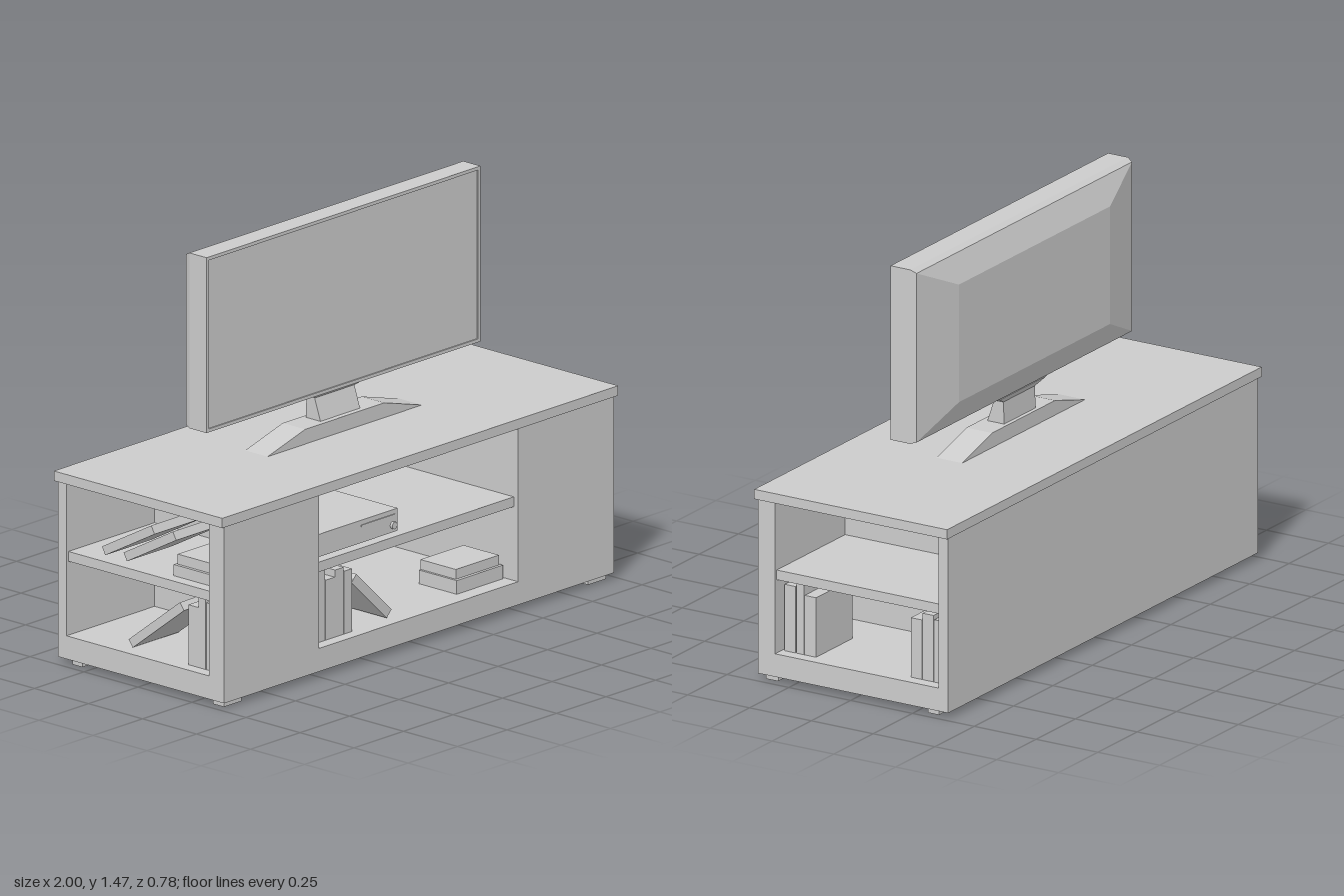
import * as THREE from 'three';

const material = new THREE.MeshStandardMaterial({ color: 0xcccccc, flatShading: true });

function add(parent, name, geometry) {
  const mesh = new THREE.Mesh(geometry, material);
  mesh.name = name;
  parent.add(mesh);
  return mesh;
}

// Box given by its limits on each axis
function box(parent, name, x0, x1, y0, y1, z0, z1) {
  const mesh = add(parent, name, new THREE.BoxGeometry(x1 - x0, y1 - y0, z1 - z0));
  mesh.position.set((x0 + x1) / 2, (y0 + y1) / 2, (z0 + z1) / 2);
  return mesh;
}

// Capped skin over four-cornered rings, counter-clockwise about the direction of travel
function loft(rings) {
  const pos = [];
  const quad = (a, b, c, d) => pos.push(...a, ...b, ...c, ...a, ...c, ...d);
  const first = rings[0], last = rings[rings.length - 1];
  quad(first[3], first[2], first[1], first[0]);
  quad(...last);
  for (let r = 0; r < rings.length - 1; r++) {
    for (let i = 0; i < 4; i++) {
      const j = (i + 1) % 4;
      quad(rings[r][i], rings[r][j], rings[r + 1][j], rings[r + 1][i]);
    }
  }
  const g = new THREE.BufferGeometry();
  g.setAttribute('position', new THREE.Float32BufferAttribute(pos, 3));
  g.computeVertexNormals();
  return g;
}
// Upright ring facing +z, and level ring facing +y
const ringZ = (w, y0, y1, z) => [[-w, y0, z], [w, y0, z], [w, y1, z], [-w, y1, z]];
const ringY = (w, z0, z1, y) => [[-w, y, z1], [w, y, z1], [w, y, z0], [-w, y, z0]];

function buildCabinet() {
  const g = new THREE.Group();
  g.name = 'cabinet';
  box(g, 'topBoard', -1, 1, 0.655, 0.69, -0.39, 0.39);
  box(g, 'floorBoard', -0.985, 0.985, 0.022, 0.105, -0.345, 0.315);
  box(g, 'backPanel', -0.985, 0.985, 0.022, 0.655, -0.385, -0.345);

  // Front panel with the open middle bay
  const shape = new THREE.Shape([[-0.985, 0.022], [0.985, 0.022], [0.985, 0.655], [-0.985, 0.655]]
    .map(p => new THREE.Vector2(...p)));
  shape.holes.push(new THREE.Path([[-0.505, 0.105], [-0.505, 0.654], [0.5, 0.654], [0.5, 0.105]]
    .map(p => new THREE.Vector2(...p))));
  const front = add(g, 'frontPanel', new THREE.ExtrudeGeometry(shape, { depth: 0.07, bevelEnabled: false }));
  front.position.z = 0.315;

  // Shelves, dividers and feet
  box(g, 'middleShelf', -0.505, 0.5, 0.37, 0.405, -0.345, 0.365);
  for (const s of [-1, 1]) {
    const span = (a, b) => (s > 0 ? [a, b] : [-b, -a]);
    box(g, 'divider', ...span(0.503, 0.54), 0.105, 0.655, -0.345, 0.315);
    box(g, 'sideShelf', ...span(0.54, 0.975), 0.37, 0.405, -0.345, 0.315);
    for (const [z0, z1] of [[0.315, 0.365], [-0.335, -0.29]]) {
      box(g, 'foot', ...span(0.875, 0.965), 0, 0.022, z0, z1);
    }
  }
  return g;
}

function buildTelevision() {
  const g = new THREE.Group();
  g.name = 'television';
  // Tapered back, casing, bezel and recessed screen
  add(g, 'casing', loft([
    ringZ(0.48, 0.945, 1.37, -0.107),
    ringZ(0.685, 0.852, 1.463, -0.066),
    ringZ(0.692, 0.845, 1.474, -0.045),
    ringZ(0.692, 0.845, 1.474, 0.035),
    ringZ(0.68, 0.857, 1.462, 0.035),
    ringZ(0.68, 0.857, 1.462, 0.03),
  ]));
  add(g, 'neckCollar', loft([ringY(0.1, -0.045, -0.005, 0.822), ringY(0.15, -0.062, 0.025, 0.847)]));
  add(g, 'neck', loft([ringY(0.1, -0.048, 0.02, 0.742), ringY(0.1, -0.045, -0.008, 0.824)]));
  // Low stand with sloping ends
  const foot = new THREE.Shape([[-0.39, 0.69], [0.39, 0.69], [0.2, 0.743], [-0.2, 0.743]]
    .map(p => new THREE.Vector2(...p)));
  add(g, 'stand', new THREE.ExtrudeGeometry(foot, { depth: 0.104, bevelEnabled: false })).position.z = -0.063;
  return g;
}

function buildPlayer() {
  const g = new THREE.Group();
  g.name = 'discPlayer';
  box(g, 'playerCase', -0.5, -0.065, 0.414, 0.495, 0.04, 0.345);
  box(g, 'discSlot', -0.25, -0.08, 0.471, 0.478, 0.34, 0.348);
  const knob = add(g, 'knob', new THREE.CylinderGeometry(0.013, 0.013, 0.012, 16));
  knob.rotation.x = Math.PI / 2;
  knob.position.set(-0.09, 0.44, 0.349);
  for (const x of [-0.47, -0.1]) {
    for (const z of [0.08, 0.31]) box(g, 'playerFoot', x - 0.015, x + 0.015, 0.405, 0.414, z - 0.015, z + 0.015);
  }
  return g;
}

function buildBooks() {
  const g = new THREE.Group();
  g.name = 'books';
  const floor = 0.105;

  // Upright row in the middle bay: x start, x end, top
  for (const [x0, x1, top] of [[-0.503, -0.462, 0.345], [-0.46, -0.427, 0.36], [-0.425, -0.377, 0.32],
    [-0.375, -0.332, 0.345], [-0.33, -0.29, 0.33]]) {
    box(g, 'uprightBook', x0, x1, floor, top, 0.11, 0.34);
  }
  const lean = add(g, 'leaningBook', new THREE.BoxGeometry(0.245, 0.035, 0.23));
  lean.position.set(-0.186, 0.206, 0.22);
  lean.rotation.z = -0.76;

  // Flat pile in the middle bay
  box(g, 'flatBook', 0.255, 0.49, floor, 0.154, 0.15, 0.325);
  box(g, 'flatBook', 0.262, 0.48, 0.155, 0.19, 0.15, 0.315);

  // Upright rows in the side bays: z start, z end, top
  const nearFront = [[0.262, 0.305, 0.345], [0.226, 0.258, 0.36], [0.178, 0.224, 0.32]];
  const nearBack = [[-0.25, -0.205, 0.32], [-0.297, -0.253, 0.345], [-0.341, -0.3, 0.33]];
  for (const [z0, z1, top] of [...nearFront, ...nearBack]) {
    box(g, 'uprightBook', 0.71, 0.94, floor, top, z0, z1);
  }
  for (const [z0, z1, top] of nearFront) box(g, 'uprightBook', -0.94, -0.71, floor, top, z0, z1);

  // Books leaning towards the front in the left bay: centre y, z, length, tilt
  for (const [y, z, length, tilt] of [[0.215, 0.03, 0.3, 0.66], [0.49, -0.1, 0.26, 0.5], [0.49, 0.0, 0.26, 0.5]]) {
    const book = add(g, 'leaningBook', new THREE.BoxGeometry(0.23, 0.032, length));
    book.position.set(-0.825, y, z);
    book.rotation.x = -tilt;
  }
  // Flat pile on the left shelf
  box(g, 'flatBook', -0.93, -0.7, 0.405, 0.445, 0.1, 0.305);
  box(g, 'flatBook', -0.92, -0.71, 0.446, 0.482, 0.11, 0.3);
  return g;
}

export function createModel() {
  const model = new THREE.Group();
  model.name = 'televisionStand';
  model.add(buildCabinet(), buildTelevision(), buildPlayer(), buildBooks());
  return model;
}
